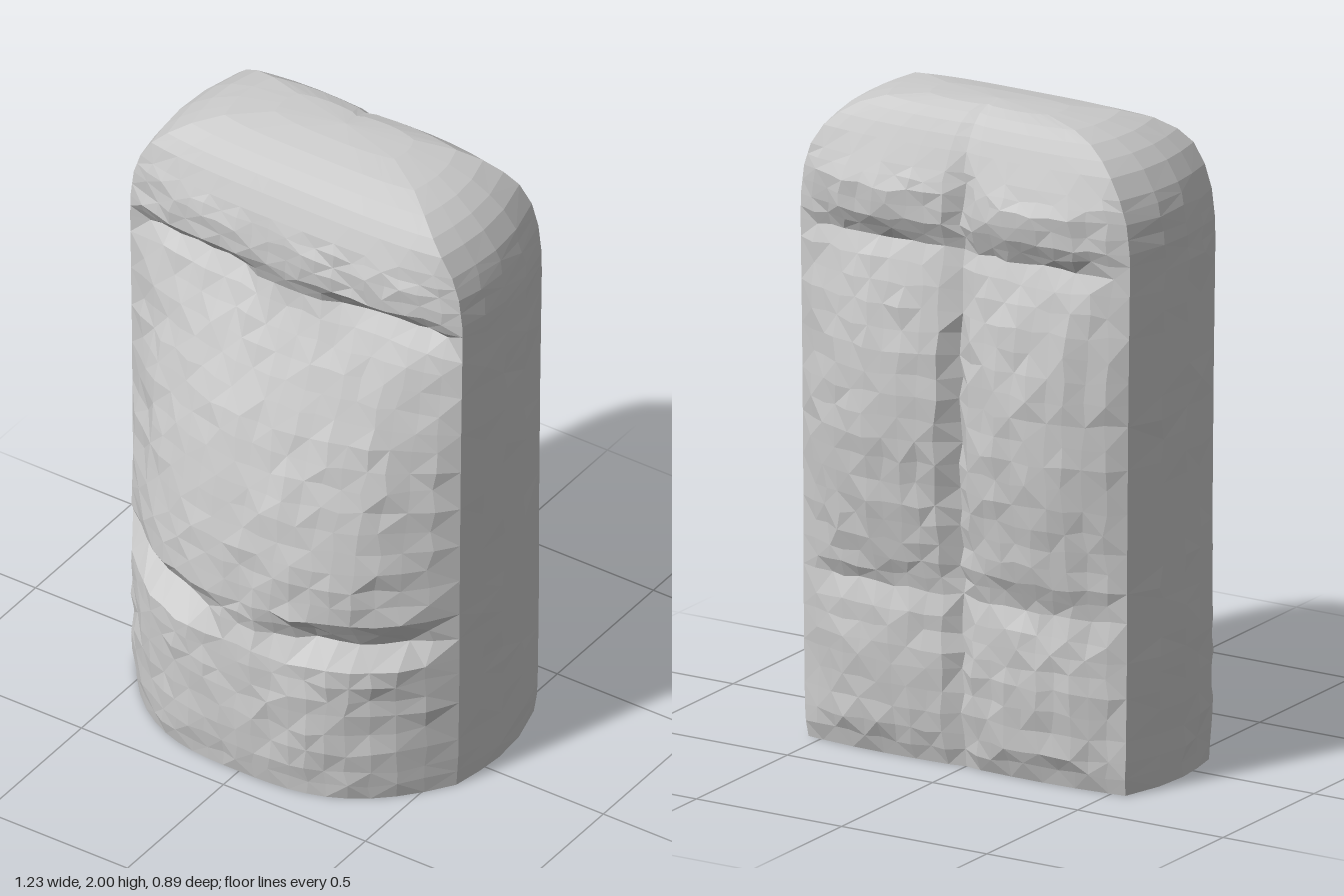
import * as THREE from 'three';

// Heights: [y, half width, front z, back z, front recess beside the centre, roundness of front]
const ROWS = [
  [0.00, 0.590, 0.42, -0.33, 0.00, 3.0],
  [0.10, 0.597, 0.435, -0.365, 0.00, 3.0],
  [0.30, 0.600, 0.44, -0.385, 0.00, 3.0],
  [0.46, 0.602, 0.435, -0.38, 0.00, 3.0],
  [0.53, 0.602, 0.42, -0.36, 0.06, 3.0], // mouth crease
  [0.62, 0.602, 0.43, -0.39, 0.00, 2.8],
  [0.80, 0.603, 0.42, -0.42, 0.00, 2.6],
  [1.00, 0.605, 0.38, -0.44, 0.01, 2.6],
  [1.20, 0.607, 0.32, -0.435, 0.01, 2.6],
  [1.40, 0.610, 0.23, -0.41, 0.01, 2.6],
  [1.53, 0.612, 0.17, -0.375, 0.015, 3.0],
  [1.585, 0.613, 0.16, -0.345, 0.05, 3.5], // eye crease
  [1.66, 0.612, 0.19, -0.39, 0.00, 4.0], // brow
  [1.75, 0.600, 0.19, -0.395, 0.00, 4.0],
  [1.82, 0.575, 0.17, -0.36, 0.00, 4.0],
  [1.88, 0.535, 0.145, -0.33, 0.00, 4.0],
  [1.92, 0.490, 0.12, -0.31, 0.00, 4.0],
  [1.955, 0.430, 0.08, -0.285, 0.00, 4.0],
  [1.98, 0.350, 0.02, -0.255, 0.00, 4.0],
  [1.995, 0.220, -0.06, -0.21, 0.00, 3.0],
];
// Back depth across the half width: central groove, lobe, edge
const LOBE = [[0, 0.2], [0.1, 0.7], [0.3, 0.93], [0.5, 1], [0.7, 0.83], [0.9, 0.35], [1, 0]];
const STEPS = 20;

function sample(points, u) {
  let i = 1;
  while (i < points.length - 1 && points[i][0] < u) i++;
  const [a, b] = [points[i - 1], points[i]];
  return THREE.MathUtils.lerp(a[1], b[1], (u - a[0]) / (b[0] - a[0]));
}

// Repeatable chisel roughness
function rough(i, j, k) {
  const s = Math.sin(i * 127.1 + j * 311.7 + k * 74.7) * 43758.5453;
  return s - Math.floor(s) - 0.5;
}

// One horizontal outline, counterclockwise from above, starting at the front right corner
function outline([y, w, front, back, recess, power]) {
  const zf = Math.min(0.12, front - 0.02);
  const zb = Math.max(-0.32, back + 0.02);
  const ring = [];
  for (let s = 0; s <= STEPS; s++) {
    const x = -1 + 2 * s / STEPS, u = Math.abs(x);
    const beside = THREE.MathUtils.smoothstep(u, 0.1, 0.4) * (1 - THREE.MathUtils.smoothstep(u, 0.8, 1));
    const z = zf + (front - zf) * (1 - u ** power) - recess * beside;
    ring.push([x * w * 0.955, y, z]);
  }
  const side = [[0.985, 0.22], [1, 0.43], [0.985, 0.7]];
  for (const [k, t] of side) ring.push([w * k, y, THREE.MathUtils.lerp(zf, zb, t)]);
  for (let s = 0; s <= STEPS; s++) {
    const x = 1 - 2 * s / STEPS;
    ring.push([x * w * 0.925, y, zb + (back - zb) * sample(LOBE, Math.abs(x))]);
  }
  for (const [k, t] of side.reverse()) ring.push([-w * k, y, THREE.MathUtils.lerp(zf, zb, t)]);
  return ring;
}

function createStone() {
  // Fill in extra rings between the main heights
  const rows = [];
  for (let r = 0; r < ROWS.length - 1; r++) {
    const n = Math.ceil((ROWS[r + 1][0] - ROWS[r][0]) / 0.07);
    for (let k = 0; k < n; k++) {
      rows.push(ROWS[r].map((v, c) => THREE.MathUtils.lerp(v, ROWS[r + 1][c], k / n)));
    }
  }
  rows.push(ROWS[ROWS.length - 1]);

  const rings = rows.map(outline);
  const count = rings[0].length;
  const position = [], index = [];
  const backStart = STEPS + 4;
  rings.forEach((ring, i) => ring.forEach(([x, y, z], j) => {
    const corner = j === 0 || j === STEPS || j === backStart || j === backStart + STEPS;
    const onSide = (j > STEPS && j < backStart) || j > backStart + STEPS;
    const amount = corner || i === 0 || i > rings.length - 7 ? 0 : 1;
    position.push(
      x + rough(i, j, 1) * amount * (onSide ? 0.004 : 0.018),
      y + rough(i, j, 2) * amount * 0.014,
      z + rough(i, j, 3) * amount * (onSide ? 0.02 : 0.012),
    );
  }));
  for (let i = 0; i < rings.length - 1; i++) {
    for (let j = 0; j < count; j++) {
      const a = i * count + j, b = i * count + (j + 1) % count;
      const c = a + count, d = b + count;
      if ((i + j) % 2) index.push(a, b, d, a, d, c);
      else index.push(a, b, c, b, d, c);
    }
  }
  // Flat base and crown
  const last = (rings.length - 1) * count, base = rings.length * count;
  position.push(0, 0, 0, 0, 2, -0.14);
  for (let j = 0; j < count; j++) {
    const k = (j + 1) % count;
    index.push(base, k, j, base + 1, last + j, last + k);
  }
  const geometry = new THREE.BufferGeometry();
  geometry.setAttribute('position', new THREE.Float32BufferAttribute(position, 3));
  geometry.setIndex(index);
  const flat = geometry.toNonIndexed();
  flat.computeVertexNormals();
  return flat;
}

export function createModel() {
  const group = new THREE.Group();
  group.name = 'stoneHead';
  const material = new THREE.MeshStandardMaterial({ color: 0xcccccc, flatShading: true });
  const stone = new THREE.Mesh(createStone(), material);
  stone.name = 'carvedStone';
  group.add(stone);
  return group;
}
